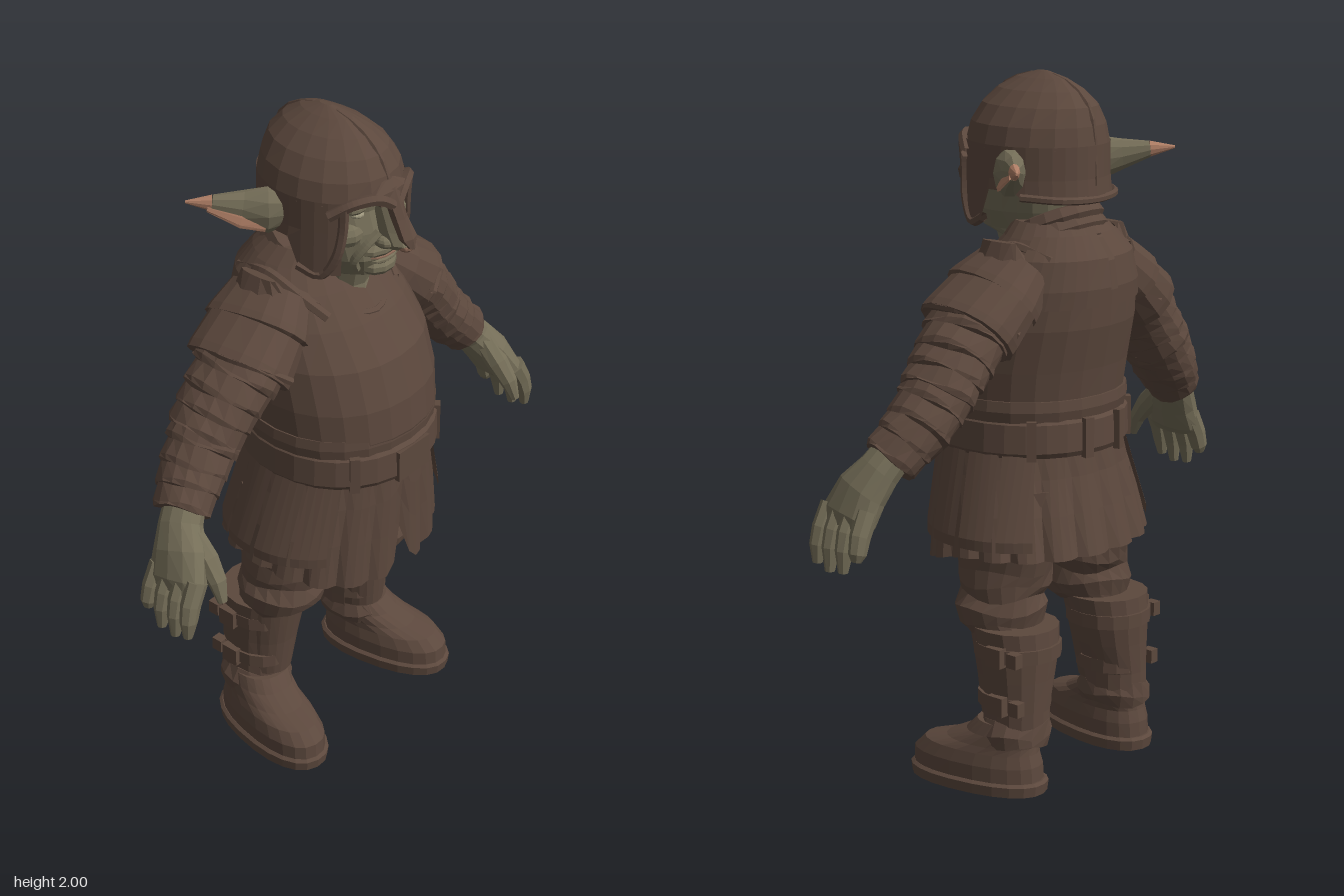
import * as THREE from 'three';

const V = (x, y, z) => new THREE.Vector3(x, y, z);
const mat = (name, color, side = THREE.FrontSide) => {
  const m = new THREE.MeshStandardMaterial({ color, side });
  m.name = name;
  return m;
};

// Skin over rings [x, y, z, rx, rz]; level rings, or rings square to the path when tube is set
function loft(secs, { n = 20, e = 2, tube = false, arc = [0, Math.PI * 2], cap = true, warp } = {}) {
  const pos = [], idx = [], w = n + 1;
  const pw = (s) => Math.sign(s) * Math.abs(s) ** (2 / e);
  secs.forEach(([x, y, z, rx, rz], j) => {
    const a = secs[Math.max(j - 1, 0)], b = secs[Math.min(j + 1, secs.length - 1)];
    const t = tube ? V(b[0] - a[0], b[1] - a[1], b[2] - a[2]).normalize() : V(0, 1, 0);
    const v = V(0, 0, 1).addScaledVector(t, -t.z).normalize();
    const u = t.clone().cross(v);
    for (let i = 0; i <= n; i++) {
      const ang = arc[0] + (arc[1] - arc[0]) * (i / n);
      const p = V(x, y, z).addScaledVector(u, pw(Math.sin(ang)) * rx).addScaledVector(v, pw(Math.cos(ang)) * rz);
      if (warp) warp(p, ang, j, i % n);
      pos.push(p.x, p.y, p.z);
    }
  });
  for (let j = 0; j < secs.length - 1; j++) for (let i = 0; i < n; i++) {
    const a = j * w + i, b = a + w;
    idx.push(a, a + 1, b + 1, a, b + 1, b);
  }
  if (cap) [0, secs.length - 1].forEach((j) => {
    const c = pos.length / 3;
    pos.push(...secs[j].slice(0, 3));
    for (let i = 0; i < n; i++) {
      const a = j * w + i;
      idx.push(c, j ? a : a + 1, j ? a + 1 : a);
    }
  });
  const g = new THREE.BufferGeometry();
  g.setAttribute('position', new THREE.Float32BufferAttribute(pos, 3));
  g.setIndex(idx);
  return g;
}

// Overlapping lames along a row of sections
function layered(secs, count, flare) {
  const at = (t) => {
    const f = t * (secs.length - 1), i = Math.min(Math.floor(f), secs.length - 2);
    return secs[i].map((s, k) => s + (secs[i + 1][k] - s) * (f - i));
  };
  const size = (s, k) => [s[0], s[1], s[2], s[3] * k, s[4] * k];
  const out = [];
  for (let k = 0; k < count; k++) {
    out.push(size(at(k / count), 1 - flare), size(at((k + 0.8) / count), 1 + flare), size(at((k + 1) / count), 1 + flare));
  }
  return out;
}

const blob = (x, y, z, rx, ry, rz) => new THREE.SphereGeometry(1, 10, 7).scale(rx, ry, rz).translate(x, y, z);
const box = (x, y, z, w, h, d) => new THREE.BoxGeometry(w, h, d).translate(x, y, z);
const cord = (pts, r) => new THREE.TubeGeometry(new THREE.CatmullRomCurve3(pts.map((p) => V(...p))), 16, r, 6);
const wrinkle = (s) => (p, a, j) => {
  p.y += s * Math.sin(3 * a + j * 1.7);
  p.z += s * 0.5 * Math.sin(2 * a + j * 2.3);
};

export function createModel() {
  const root = new THREE.Group();
  root.name = 'armouredGoblin';
  const leather = mat('brownLeather', 0x5c483d, THREE.DoubleSide);
  const skin = mat('greenSkin', 0x756e58);
  const pink = mat('earPink', 0xb07f66);
  const lip = mat('lipBrown', 0x866553);
  const eye = mat('eye', 0x9a937a);

  // Faceted mesh
  const add = (name, geo, material) => {
    const g = geo.index ? geo.toNonIndexed() : geo;
    g.computeVertexNormals();
    const m = new THREE.Mesh(g, material);
    m.name = name;
    root.add(m);
  };
  // Left part and its mirrored right twin
  const pair = (name, geo, material) => {
    const g = geo.index ? geo.toNonIndexed() : geo;
    const r = g.clone().scale(-1, 1, 1), p = r.attributes.position;
    for (let i = 0; i < p.count; i += 3) {
      const a = V().fromBufferAttribute(p, i + 1), b = V().fromBufferAttribute(p, i + 2);
      p.setXYZ(i + 1, b.x, b.y, b.z);
      p.setXYZ(i + 2, a.x, a.y, a.z);
    }
    add(name + 'Left', g, material);
    add(name + 'Right', r, material);
  };

  // Cuirass, neckline, waist trim
  add('cuirass', loft([[0, 1.03, 0.018, 0.258, 0.25], [0, 1.1, 0.025, 0.266, 0.26], [0, 1.2, 0.013, 0.273, 0.263],
    [0, 1.32, -0.017, 0.27, 0.257], [0, 1.42, -0.055, 0.25, 0.225], [0, 1.5, -0.085, 0.22, 0.185],
    [0, 1.56, -0.095, 0.17, 0.14], [0, 1.6, -0.085, 0.13, 0.11]], { n: 24, e: 2.12 }), leather);
  add('necklineTrim', cord([[-0.17, 1.51, 0.02], [-0.1, 1.455, 0.1], [0, 1.43, 0.15], [0.1, 1.455, 0.1], [0.17, 1.51, 0.02]], 0.013), leather);
  add('waistTrim', loft([[0, 1.06, 0.02, 0.27, 0.261], [0, 1.09, 0.018, 0.276, 0.266], [0, 1.12, 0.018, 0.272, 0.263]], { n: 24, e: 2.12 }), leather);
  pair('shoulderStrap', cord([[0.14, 1.45, 0.1], [0.17, 1.5, 0.03], [0.18, 1.54, -0.08], [0.16, 1.51, -0.2]], 0.016), leather);
  // Back yoke in two halves with a centre seam
  pair('backYoke', loft([[0, 1.38, -0.04, 0.262, 0.245], [0, 1.43, -0.058, 0.25, 0.23], [0, 1.51, -0.085, 0.218, 0.19], [0, 1.57, -0.095, 0.162, 0.135]],
    { n: 8, e: 2.12, cap: false, arc: [Math.PI * 0.58, Math.PI * 0.985] }), leather);

  // Rolled collar, open at the throat and higher at the back
  [[0.148, 0.032, 1.5, -0.06, 0.15], [0.128, 0.03, 1.54, -0.065, 0.6], [0.11, 0.028, 1.58, -0.075, 0.8]].forEach(([r, t, y, z, gap]) => {
    const pts = [];
    for (let i = 0; i <= 10; i++) {
      const a = gap / 2 + (Math.PI * 2 - gap) * (i / 10);
      pts.push([Math.sin(a) * r, y - Math.cos(a) * r * 0.42, z + Math.cos(a) * r * 0.95]);
    }
    add('collarRoll', cord(pts, t), leather);
  });

  // Belt and buckle
  add('belt', loft([[0, 0.96, 0.02, 0.265, 0.265], [0, 0.975, 0.02, 0.276, 0.273], [0, 1.055, 0.02, 0.272, 0.271],
    [0, 1.068, 0.02, 0.26, 0.258]], { n: 28, e: 2.12 }), leather);
  add('beltBuckle', box(0, 1.005, 0.288, 0.13, 0.095, 0.016), leather);
  [0.7, 2.3, 2.9].forEach((a) => pair('beltLoop',
    box(0, 0, 0.277, 0.028, 0.112, 0.02).rotateY(a).translate(0, 1.012, 0.018), leather));

  // Pleated skirt with a narrow front split
  const skirtRows = [[0, 0.98, 0.015, 0.257, 0.245], [0, 0.9, 0.01, 0.278, 0.25], [0, 0.8, -0.002, 0.308, 0.259], [0, 0.68, -0.016, 0.33, 0.272]];
  add('pleatedSkirt', loft(skirtRows, { n: 72, e: 2.15, cap: false, warp: (p, a, j, i) => {
    const k = j / 3, pleat = 1 + k * (i % 4 === 0 ? -0.045 : i % 4 === 2 ? 0.02 : 0.008);
    const mid = Math.abs(p.x);
    p.y -= k * 0.075 * Math.max(0, Math.cos(a));
    if (p.z > 0 && mid < 0.045) p.y += k * 0.14 * (1 - mid / 0.045);
    p.x *= pleat;
    p.z = 0.015 + (p.z - 0.015) * pleat;
  } }), leather);
  // Side flaps over the skirt
  [-0.6, -0.2, 0.2, 0.6].forEach((c) => pair('hipFlap', loft(
    [[0, 0.71, -0.01, 0.342, 0.275], [0, 0.74, -0.01, 0.342, 0.275], [0, 0.98, 0.015, 0.265, 0.25]],
    { n: 4, e: 2.15, cap: false, arc: [Math.PI / 2 + c - 0.18, Math.PI / 2 + c + 0.18] }), leather));

  // Breeches, greaves, straps
  pair('breeches', loft([[0.195, 0.45, -0.06, 0.1, 0.11], [0.192, 0.48, -0.04, 0.118, 0.125], [0.187, 0.52, -0.035, 0.128, 0.135],
    [0.182, 0.555, -0.04, 0.112, 0.122], [0.172, 0.59, -0.035, 0.126, 0.138], [0.165, 0.63, -0.035, 0.124, 0.14],
    [0.16, 0.7, -0.035, 0.13, 0.165], [0.14, 0.86, -0.02, 0.138, 0.19]], { n: 20, warp: wrinkle(0.009) }), leather);
  pair('greave', loft([[0.217, 0.19, -0.12, 0.084, 0.1], [0.217, 0.24, -0.12, 0.083, 0.1], [0.207, 0.33, -0.115, 0.1, 0.108],
    [0.2, 0.41, -0.108, 0.113, 0.12], [0.198, 0.475, -0.098, 0.12, 0.126]], { n: 16, e: 2.1 }), leather);
  pair('shinPlate', loft([[0.212, 0.21, -0.105, 0.075, 0.1], [0.205, 0.33, -0.095, 0.09, 0.105], [0.198, 0.49, -0.08, 0.112, 0.118]],
    { n: 10, e: 2.1, cap: false, arc: [-1.3, 1.3] }), leather);
  [[0.41, 0.2, 0.118, 0.125], [0.265, 0.214, 0.095, 0.108]].forEach(([y, x, rx, rz]) => {
    pair('greaveStrap', loft([[x, y - 0.02, -0.11, rx, rz], [x, y + 0.02, -0.11, rx, rz]], { n: 16, e: 2.1 }), leather);
    pair('strapBuckle', box(x + rx - 0.002, y, -0.13, 0.03, 0.055, 0.055), leather);
    pair('strapEnd', box(x + rx - 0.012, y, -0.19, 0.03, 0.04, 0.035), leather);
  });

  // Boots turned outwards
  const boot = (secs) => loft(secs, { n: 22, e: 2.3 }).rotateY(0.18).translate(0.26, 0, -0.015);
  pair('bootSole', boot([[0, 0, 0, 0.103, 0.213], [0, 0.03, 0, 0.106, 0.217], [0, 0.037, 0, 0.097, 0.208]]), leather);
  pair('bootFoot', boot([[0, 0.03, 0.002, 0.096, 0.205], [0, 0.08, 0.002, 0.096, 0.202], [0, 0.115, -0.01, 0.088, 0.18],
    [-0.003, 0.135, -0.045, 0.084, 0.142], [-0.01, 0.165, -0.082, 0.084, 0.114], [-0.018, 0.2, -0.1, 0.082, 0.1]]), leather);
  pair('ankleRoll', loft([[0.226, 0.14, -0.115, 0.092, 0.108], [0.224, 0.17, -0.115, 0.099, 0.113], [0.218, 0.205, -0.118, 0.084, 0.1]],
    { n: 16, warp: wrinkle(0.008) }), leather);

  // Arms: pauldron, lamed upper sleeve, wrapped forearm
  pair('pauldron', loft(layered([[0.17, 1.475, -0.075, 0.09, 0.13], [0.25, 1.405, -0.06, 0.1, 0.155], [0.34, 1.325, -0.05, 0.108, 0.152]], 2, 0.04),
    { n: 16, e: 2.3, tube: true }), leather);
  pair('pauldronRim', cord([[0.3, 1.33, 0.11], [0.37, 1.385, 0.07], [0.405, 1.4, -0.05], [0.37, 1.385, -0.16], [0.3, 1.33, -0.2]], 0.012), leather);
  pair('pauldronPeak', loft([[0.21, 1.48, -0.07, 0.07, 0.1], [0.228, 1.56, -0.07, 0.012, 0.06]], { n: 10 }), leather);
  pair('upperSleeve', loft(layered([[0.31, 1.35, -0.05, 0.1, 0.14], [0.4, 1.255, -0.055, 0.098, 0.122], [0.47, 1.17, -0.058, 0.092, 0.11]], 4, 0.04),
    { n: 16, tube: true, warp: wrinkle(0.006) }), leather);
  pair('forearmWrap', loft(layered([[0.45, 1.19, -0.058, 0.092, 0.11], [0.53, 1.095, -0.045, 0.084, 0.1], [0.61, 1.012, -0.015, 0.07, 0.08]], 4, 0.04),
    { n: 16, tube: true, warp: wrinkle(0.005) }), leather);

  // Hands, fingers close together
  pair('palm', loft([[0.585, 1.045, -0.02, 0.05, 0.058], [0.63, 0.99, 0.0, 0.052, 0.062], [0.665, 0.935, 0.03, 0.054, 0.08],
    [0.697, 0.87, 0.048, 0.045, 0.092], [0.71, 0.84, 0.05, 0.03, 0.085]], { n: 12, e: 2.3, tube: true }), skin);
  [[-0.018, -0.022, 0.765], [0.028, 0.028, 0.725], [0.074, 0.078, 0.72], [0.118, 0.125, 0.735]].forEach(([z0, z1, tip]) =>
    pair('finger', loft([[0.695, 0.89, z0, 0.034, 0.027], [0.727, 0.83, (z0 + z1) / 2, 0.032, 0.026],
      [0.74, 0.785, z1, 0.027, 0.023], [0.745, tip, z1, 0.014, 0.013]], { n: 8, tube: true }), skin));
  pair('thumb', loft([[0.635, 0.975, 0.045, 0.034, 0.034], [0.635, 0.92, 0.1, 0.032, 0.034], [0.64, 0.87, 0.14, 0.026, 0.026],
    [0.645, 0.815, 0.162, 0.013, 0.014]], { n: 8, tube: true }), skin);

  // Throat, head and face
  add('throat', loft([[0, 1.42, 0.04, 0.04, 0.09], [0, 1.5, 0.025, 0.065, 0.085], [0, 1.57, 0.03, 0.08, 0.1]], { n: 12 }), skin);
  add('head', loft([[0, 1.46, -0.035, 0.1, 0.11], [0, 1.54, -0.025, 0.095, 0.11], [0, 1.565, 0.025, 0.095, 0.15], [0, 1.62, 0.03, 0.13, 0.163],
    [0, 1.7, 0.018, 0.152, 0.167], [0, 1.76, 0.003, 0.16, 0.165], [0, 1.83, 0, 0.16, 0.18]], { n: 22 }), skin);
  add('chin', blob(0, 1.587, 0.152, 0.06, 0.032, 0.05), skin);
  add('upperLip', blob(0, 1.645, 0.166, 0.075, 0.025, 0.04), skin);
  add('lowerLip', blob(0, 1.612, 0.17, 0.055, 0.014, 0.03), skin);
  add('mouthLine', blob(0, 1.626, 0.172, 0.058, 0.007, 0.03), lip);
  add('nose', loft([[0, 1.655, 0.21, 0.02, 0.03], [0, 1.678, 0.222, 0.036, 0.05], [0, 1.71, 0.2, 0.032, 0.05], [0, 1.79, 0.165, 0.024, 0.04]], { n: 10 }), skin);
  add('noseTip', blob(0, 1.668, 0.25, 0.02, 0.014, 0.022), lip);
  pair('nostril', blob(0.032, 1.678, 0.2, 0.02, 0.018, 0.03), skin);
  pair('cheekbone', blob(0.085, 1.7, 0.124, 0.05, 0.038, 0.042), skin);
  pair('cheekFold', cord([[0.035, 1.705, 0.188], [0.07, 1.67, 0.172], [0.088, 1.625, 0.148], [0.07, 1.59, 0.14]], 0.013), skin);
  pair('eyelid', blob(0.072, 1.777, 0.138, 0.04, 0.018, 0.026), skin);
  pair('eyeball', blob(0.072, 1.758, 0.142, 0.022, 0.01, 0.02), eye);

  // Ears: green cupped blade, pink tip, pink hollow
  pair('ear', loft([[0.14, 1.75, -0.03, 0.05, 0.04], [0.185, 1.74, -0.07, 0.066, 0.045], [0.23, 1.752, -0.12, 0.045, 0.03],
    [0.287, 1.765, -0.177, 0.023, 0.016]], { n: 10, tube: true }), skin);
  pair('earTip', loft([[0.287, 1.765, -0.177, 0.023, 0.016], [0.335, 1.77, -0.228, 0.004, 0.003]], { n: 10, tube: true }), pink);
  pair('earHollow', loft([[0.208, 1.717, -0.053, 0.026, 0.005], [0.25, 1.731, -0.103, 0.029, 0.005], [0.302, 1.757, -0.178, 0.012, 0.004]],
    { n: 8, tube: true }), pink);

  // Helmet: pointed dome, open-faced lower shell, crest, brow and nasal
  add('helmetDome', loft([[0, 1.8, -0.01, 0.184, 0.212], [0, 1.86, -0.012, 0.168, 0.2], [0, 1.91, -0.018, 0.135, 0.178],
    [0, 1.95, -0.022, 0.091, 0.138], [0, 1.98, -0.026, 0.043, 0.085], [0, 1.998, -0.028, 0.008, 0.02]], { n: 18 }), leather);
  add('helmetShell', loft([[0, 1.64, -0.012, 0.19, 0.215], [0, 1.72, -0.01, 0.186, 0.212], [0, 1.81, -0.01, 0.184, 0.212]],
    { n: 26, cap: false, arc: [0.78, Math.PI * 2 - 0.78], warp: (p, a, j) => {
      if (j === 0) p.y = p.z > 0.01 ? 1.595 : p.z > -0.08 ? 1.69 : 1.662;
    } }), leather);
  add('neckGuardRim', cord([[-0.178, 1.675, -0.1], [-0.11, 1.667, -0.195], [0, 1.663, -0.223], [0.11, 1.667, -0.195], [0.178, 1.675, -0.1]], 0.011), leather);
  pair('cheekRim', cord([[0.132, 1.8, 0.148], [0.13, 1.73, 0.143], [0.142, 1.65, 0.13], [0.16, 1.59, 0.09], [0.183, 1.61, 0.03]], 0.014), leather);
  add('helmetCrest', cord([[0, 1.81, 0.2], [0, 1.9, 0.163], [0, 1.96, 0.095], [0, 1.99, -0.03], [0, 1.96, -0.14], [0, 1.9, -0.197], [0, 1.7, -0.22]], 0.008), leather);
  add('browPlate', loft([[0, 1.79, 0.2, 0.05, 0.016], [0, 1.825, 0.192, 0.07, 0.02], [0, 1.85, 0.18, 0.02, 0.014]], { n: 10 }), leather);
  pair('browRim', cord([[0.01, 1.785, 0.214], [0.05, 1.812, 0.2], [0.11, 1.81, 0.165], [0.155, 1.775, 0.115]], 0.016), leather);
  add('nasalGuard', loft([[0, 1.672, 0.27, 0.01, 0.012], [0, 1.7, 0.258, 0.03, 0.018], [0, 1.75, 0.226, 0.024, 0.022], [0, 1.83, 0.193, 0.03, 0.018]],
    { n: 6 }), leather);

  return root;
}
